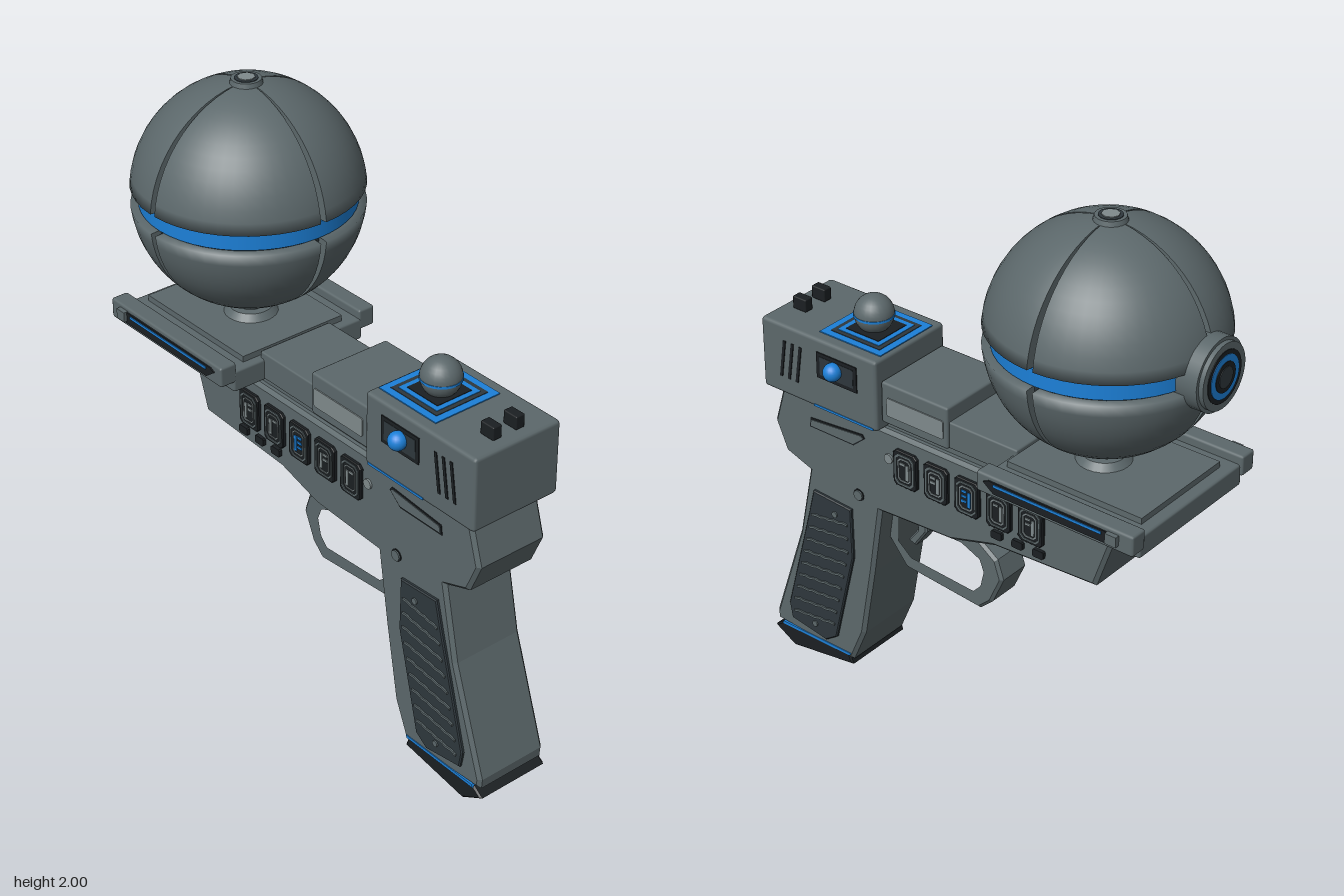
import * as THREE from 'three';
import { RoundedBoxGeometry } from 'three/addons/geometries/RoundedBoxGeometry.js';

const paint = (name, color) => Object.assign(new THREE.MeshStandardMaterial({ color }), { name });

export function createModel() {
  const root = new THREE.Group();
  root.name = 'sphereBlaster';
  const grey = paint('gunmetal grey', 0x5c686b);
  const dark = paint('dark slate', 0x2e373c);
  const black = paint('black', 0x1b1f22);
  const blue = paint('bright blue', 0x1c80d8);
  const light = paint('pale grey', 0x7f8a8c);
  const shell = paint('shell grey', 0x5c686b);
  shell.side = THREE.DoubleSide;

  const add = (name, geo, mat, x = 0, y = 0, z = 0) => {
    const m = new THREE.Mesh(geo, mat);
    m.name = name;
    m.position.set(x, y, z);
    root.add(m);
    return m;
  };
  const box = (name, mat, w, h, d, x, y, z, r = 0) =>
    add(name, r ? new RoundedBoxGeometry(w, h, d, 1, r) : new THREE.BoxGeometry(w, h, d), mat, x, y, z);
  const toShape = (pts) => new THREE.Shape(pts.map((p) => new THREE.Vector2(p[0], p[1])));
  // side outline given as [z, y], extruded across x and centred on the given x
  const slab = (name, mat, pts, width, x = 0, bevel = 0, hole = null) => {
    const s = toShape(pts);
    if (hole) s.holes.push(toShape(hole));
    const g = new THREE.ExtrudeGeometry(s, {
      depth: width - 2 * bevel, bevelEnabled: bevel > 0, bevelSize: bevel,
      bevelThickness: bevel, bevelOffset: -bevel, bevelSegments: 1,
    });
    g.translate(0, 0, -(width / 2 - bevel));
    g.rotateY(-Math.PI / 2);
    return add(name, g, mat, x);
  };
  const rect = (z, y, w, h, c = 0) => [
    [z - w / 2 + c, y - h / 2], [z + w / 2 - c, y - h / 2], [z + w / 2, y - h / 2 + c], [z + w / 2, y + h / 2 - c],
    [z + w / 2 - c, y + h / 2], [z - w / 2 + c, y + h / 2], [z - w / 2, y + h / 2 - c], [z - w / 2, y - h / 2 + c],
  ].filter((p, i) => c > 0 || i % 2 === 0);

  // frame and grip
  slab('frame', grey, [
    [0.767, 1.05], [0.81, 0.905], [0.765, 0.8], [0.665, 0.765], [0.72, 0.5], [0.848, 0.12], [0.845, 0.085],
    [0.5, 0.065], [0.443, 0.2], [0.395, 0.47], [0.355, 0.725], [0.06, 0.74], [-0.114, 0.79],
    [-0.51, 0.81], [-0.567, 0.98], [-0.496, 1.05],
  ], 0.27, 0, 0.012);
  slab('gripBase', black, [[0.857, 0.055], [0.77, 0.004], [0.5, 0.045], [0.515, 0.088], [0.82, 0.083]], 0.27, 0, 0.006);
  slab('gripBaseStripe', blue, [[0.82, 0.078], [0.51, 0.08], [0.505, 0.09], [0.815, 0.089]], 0.276);

  // trigger and guard
  slab('triggerGuard', grey, [
    [0.4, 0.6], [0.31, 0.49], [0, 0.463], [-0.05, 0.51], [-0.094, 0.61], [-0.07, 0.68], [0, 0.73], [0.06, 0.745], [0.37, 0.73],
  ], 0.13, 0, 0.01, [
    [0.35, 0.58], [0.29, 0.53], [0.02, 0.512], [-0.015, 0.55], [-0.03, 0.615], [-0.01, 0.665], [0.07, 0.7], [0.345, 0.7],
  ]);
  slab('trigger', grey, [[0.29, 0.72], [0.25, 0.72], [0.245, 0.64], [0.295, 0.568], [0.325, 0.58], [0.285, 0.635]], 0.07, 0, 0.006);

  // upper housing and rail
  box('housing', grey, 0.336, 0.255, 0.485, 0, 1.178, 0.573, 0.012);
  box('rail', grey, 0.28, 0.095, 0.56, 0, 1.135, 0.07, 0.006);
  box('railBlock', grey, 0.3, 0.148, 0.27, 0, 1.161, 0.19, 0.008);
  box('railUnderside', grey, 0.22, 0.07, 1.05, 0, 1.07, -0.1);

  // platform carrying the sphere
  box('platform', grey, 0.52, 0.075, 0.57, 0, 1.122, -0.475, 0.008);
  box('platformPad', grey, 0.4, 0.03, 0.5, 0, 1.165, -0.47);
  add('pedestalFoot', new THREE.CylinderGeometry(0.07, 0.09, 0.025, 24), grey, 0, 1.19, -0.435);
  add('pedestal', new THREE.CylinderGeometry(0.042, 0.042, 0.1, 24), grey, 0, 1.23, -0.435);

  // details on both flanks
  for (const s of [-1, 1]) {
    box('platformRail', grey, 0.062, 0.07, 0.58, s * 0.28, 1.155, -0.48, 0.008);
    slab('railSlot', black, [[-0.22, 1.165], [-0.26, 1.135], [-0.69, 1.135], [-0.72, 1.175], [-0.24, 1.175]], 0.008, s * 0.312);
    slab('railStripe', blue, rect(-0.46, 1.165, 0.4, 0.009), 0.008, s * 0.315);
    box('railEndKnob', grey, 0.02, 0.035, 0.04, s * 0.317, 1.16, -0.7);
    slab('railPanel', light, rect(0.185, 1.153, 0.23, 0.065, 0.005), 0.008, s * 0.15);

    // grip panel with wavy ridges
    slab('gripPanel', dark, [
      [0.64, 0.7], [0.475, 0.69], [0.472, 0.5], [0.56, 0.14], [0.61, 0.105], [0.765, 0.13], [0.775, 0.19], [0.665, 0.6],
    ], 0.02, s * 0.136, 0.004);
    for (let i = 0; i < 9; i++) {
      const y = 0.61 - i * 0.054;
      const back = Math.min(0.65 + (0.61 - y) * 0.25, 0.75);
      const front = 0.49 + Math.max(0, 0.5 - y) * 0.235;
      const top = [], low = [];
      for (let k = 0; k <= 8; k++) {
        const z = back + (front - back) * (k / 8);
        const h = y - 0.008 + 0.022 * (k / 8) + (k % 2 ? 0.004 : 0);
        top.push([z, h + 0.004]);
        low.unshift([z, h - 0.004]);
      }
      slab('gripRidge', grey, top.concat(low), 0.01, s * 0.146);
    }
    const stud = (name, mat, z, y, r, x, t = 0.012) => {
      const m = add(name, new THREE.CylinderGeometry(r, r, t, 20), mat, s * x, y, z);
      m.rotation.z = Math.PI / 2;
    };
    stud('gripScrew', grey, 0.545, 0.645, 0.011, 0.145);
    stud('gripScrew', grey, 0.655, 0.155, 0.011, 0.145);
    stud('framePinRim', black, 0.445, 0.757, 0.022, 0.134, 0.006);
    stud('framePin', grey, 0.445, 0.757, 0.018, 0.136);
    stud('indicatorDot', light, 0.31, 0.95, 0.017, 0.136);

    // long frame inlay
    const inlay = (g) => [[0.645 + g, 0.945 - g], [0.46, 0.945 - g], [0.415 - g, 0.983], [0.425 - g, 0.992 + g], [0.64 + g, 0.972 + g]];
    slab('inlayRim', black, inlay(0.004), 0.006, s * 0.1345);
    slab('inlay', grey, inlay(-0.002), 0.008, s * 0.136);

    // row of five gauges
    for (let i = 0; i < 5; i++) {
      const z = 0.236 - i * 0.126, y = 0.937;
      slab('gaugePlate', black, rect(z, y, 0.098, 0.132, 0.012), 0.022, s * 0.136, 0.003);
      slab('gaugeFrame', grey, rect(z, y, 0.078, 0.112, 0.014), 0.008, s * 0.146, 0, rect(z, y, 0.066, 0.1, 0.012));
      slab('gaugeFrameInner', light, rect(z, y, 0.052, 0.084, 0.01), 0.007, s * 0.146, 0, rect(z, y, 0.044, 0.076, 0.008));
      const mat = i === 2 ? blue : light;
      slab('gaugeBar', mat, rect(z - 0.012, y - 0.004, 0.012, 0.055), 0.008, s * 0.146);
      for (let k = 0; k <= i % 3; k++)
        slab('gaugeMark', mat, rect(z + 0.008, y + 0.022 - k * 0.018, 0.02, 0.008), 0.008, s * 0.146);
    }
    for (let i = 0; i < 3; i++)
      slab('smallButton', black, rect(-0.135 - i * 0.082, 0.846, 0.042, 0.028, 0.004), 0.02, s * 0.137);

    // housing vents, lamp and lower stripe
    for (let i = 0; i < 3; i++) {
      const z = 0.74 - i * 0.034;
      slab('vent', black, [[z, 1.115], [z - 0.011, 1.115], [z - 0.031, 1.25], [z - 0.02, 1.25]], 0.008, s * 0.167);
    }
    slab('lampPanel', black, rect(0.492, 1.215, 0.168, 0.092), 0.008, s * 0.168);
    slab('lampPanelInset', dark, rect(0.492, 1.215, 0.14, 0.066), 0.006, s * 0.17);
    add('lamp', new THREE.SphereGeometry(0.031, 20, 14), blue, s * 0.185, 1.22, 0.497);
    slab('housingStripe', blue, rect(0.47, 1.058, 0.25, 0.008), 0.008, s * 0.166);
    box('rearSight', black, 0.034, 0.045, 0.056, s * 0.045, 1.327, 0.745, 0.004);
  }

  // nested square frames and ball on top of the housing
  const squares = [[0.127, blue], [0.102, dark], [0.086, blue], [0.068, black]];
  squares.forEach(([h, m], i) => box('topSquare', m, h * 2, 0.008, h * 2, 0, 1.305 + i * 0.002, 0.471));
  add('ballSeat', new THREE.CylinderGeometry(0.035, 0.055, 0.03, 20), dark, 0, 1.315, 0.478);
  add('topBall', new THREE.SphereGeometry(0.066, 24, 16), grey, 0, 1.362, 0.478);
  add('topBallStripe', new THREE.CylinderGeometry(0.0675, 0.0675, 0.008, 24), blue, 0, 1.36, 0.478);

  // large sphere: dark core, blue belt and eight shell panels
  const cy = 1.612, cz = -0.435, R = 0.372;
  add('sphereCore', new THREE.SphereGeometry(0.338, 40, 24), dark, 0, cy, cz);
  add('sphereBelt', new THREE.CylinderGeometry(0.346, 0.346, 0.054, 48), blue, 0, cy, cz);
  const arc = [new THREE.Vector2(0.335, 0.034)];
  const start = Math.asin(0.034 / R);
  for (let i = 0; i <= 14; i++) {
    const a = start + (Math.PI / 2 - start) * (i / 14);
    arc.push(new THREE.Vector2(Math.max(R * Math.cos(a), 0.0001), R * Math.sin(a)));
  }
  const gap = 0.028;
  for (const flip of [1, -1])
    for (let q = 0; q < 4; q++) {
      const g = new THREE.LatheGeometry(arc, 12, q * Math.PI / 2 + gap, Math.PI / 2 - 2 * gap);
      if (flip < 0) g.rotateX(Math.PI);
      add('spherePanel', g, shell, 0, cy, cz);
      // side walls of the groove
      for (const e of [gap, Math.PI / 2 - gap]) {
        const w = new THREE.RingGeometry(0.335, R, 14, 1, start, Math.PI / 2 - start);
        w.rotateY(q * Math.PI / 2 + e);
        if (flip < 0) w.rotateX(Math.PI);
        add('panelEdge', w, shell, 0, cy, cz);
      }
    }

  // cap on the sphere's pole
  add('poleCap', new THREE.CylinderGeometry(0.048, 0.056, 0.03, 24), grey, 0, 1.98, cz);
  add('poleCapRing', new THREE.CylinderGeometry(0.037, 0.037, 0.004, 24), dark, 0, 1.995, cz);
  add('poleCapButton', new THREE.CylinderGeometry(0.028, 0.028, 0.006, 8), light, 0, 1.997, cz);

  // round port at the far side of the sphere
  const disc = (name, mat, r, z0, z1) => {
    const g = new THREE.CylinderGeometry(r, r, z0 - z1, 36);
    g.rotateX(Math.PI / 2);
    add(name, g, mat, 0, cy, (z0 + z1) / 2);
  };
  disc('portCollar', grey, 0.117, -0.74, -0.832);
  disc('portRim', grey, 0.106, -0.82, -0.847);
  disc('portFace', black, 0.084, -0.84, -0.849);
  disc('portRing', blue, 0.07, -0.843, -0.851);
  disc('portWell', black, 0.049, -0.845, -0.853);
  disc('portCentre', dark, 0.034, -0.847, -0.855);

  return root;
}
